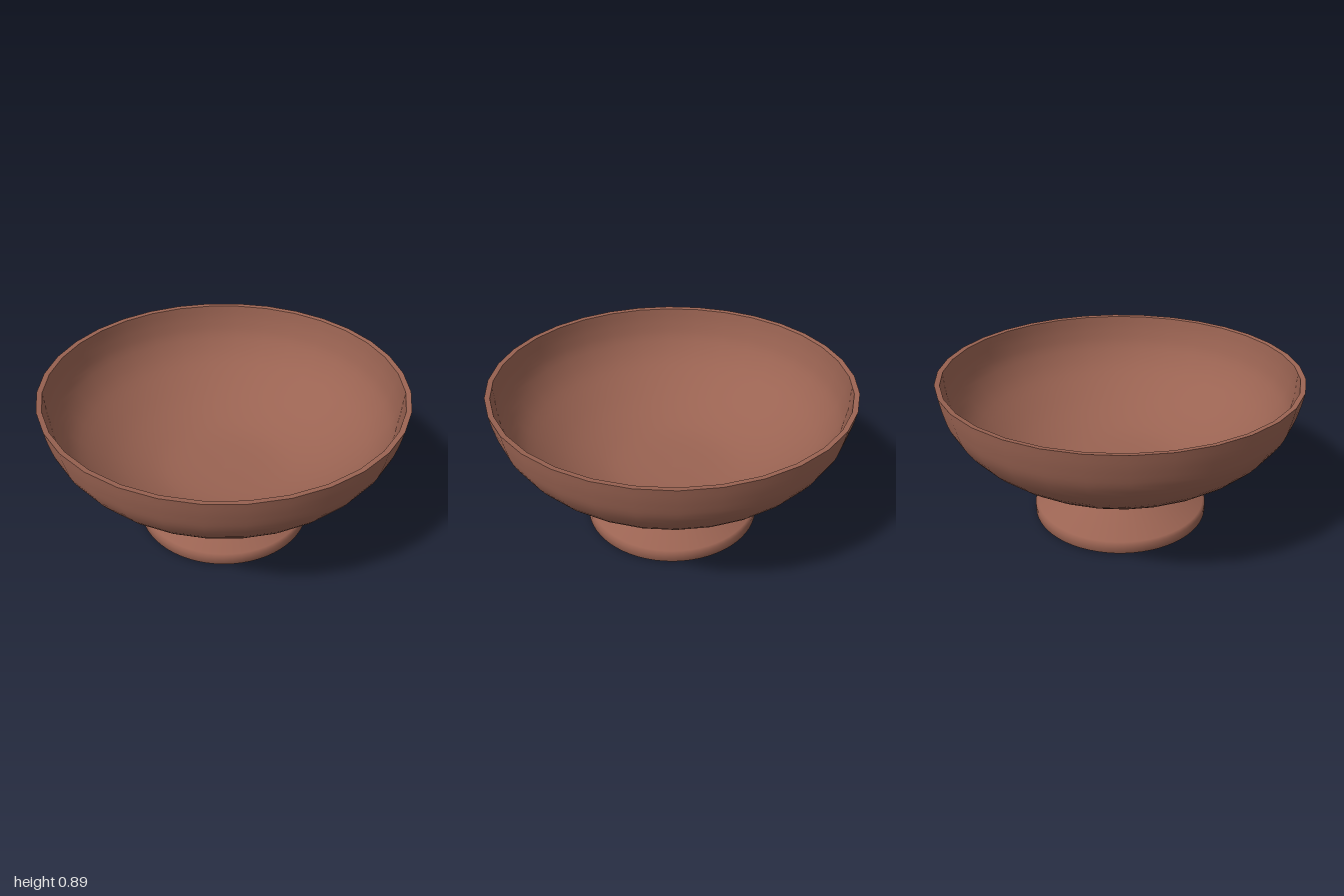
import * as THREE from 'three';

export function createModel() {
  const model = new THREE.Group();
  const clay = new THREE.MeshStandardMaterial({ color: 0x9a6352 });
  clay.name = 'terracotta';

  const vectors = (points) => points.map(([r, y]) => new THREE.Vector2(r, y));
  const smooth = (points, n) => new THREE.SplineCurve(vectors(points)).getPoints(n);

  // Each profile is turned on its own, so edges between profiles stay sharp
  function turn(name, profile, sides) {
    const mesh = new THREE.Mesh(new THREE.LatheGeometry(profile, sides), clay);
    mesh.name = name;
    model.add(mesh);
  }

  // Foot: flat underside, bevelled band flowing into the cone, short neck
  turn('footUnderside', vectors([[0, 0], [0.49, 0]]), 64);
  turn('footCone', vectors([[0.49, 0], [0.51, 0.012], [0.51, 0.06], [0.495, 0.075], [0.25, 0.215]]), 64);
  turn('footNeck', vectors([[0.25, 0.215], [0.25, 0.275]]), 64);

  // Bowl: outer wall, narrow rim and hollow inside
  turn('bowlOuter', smooth([
    [0, 0.26], [0.25, 0.268], [0.44, 0.302], [0.65, 0.39], [0.84, 0.53], [0.945, 0.67], [0.983, 0.79], [1, 0.887],
  ], 28), 32);
  turn('bowlRim', vectors([[1, 0.887], [0.972, 0.883]]), 32);
  turn('bowlInner', smooth([
    [0.972, 0.883], [0.955, 0.79], [0.915, 0.68], [0.815, 0.55], [0.63, 0.415], [0.43, 0.33], [0.25, 0.298], [0, 0.29],
  ], 28), 32);

  return model;
}
